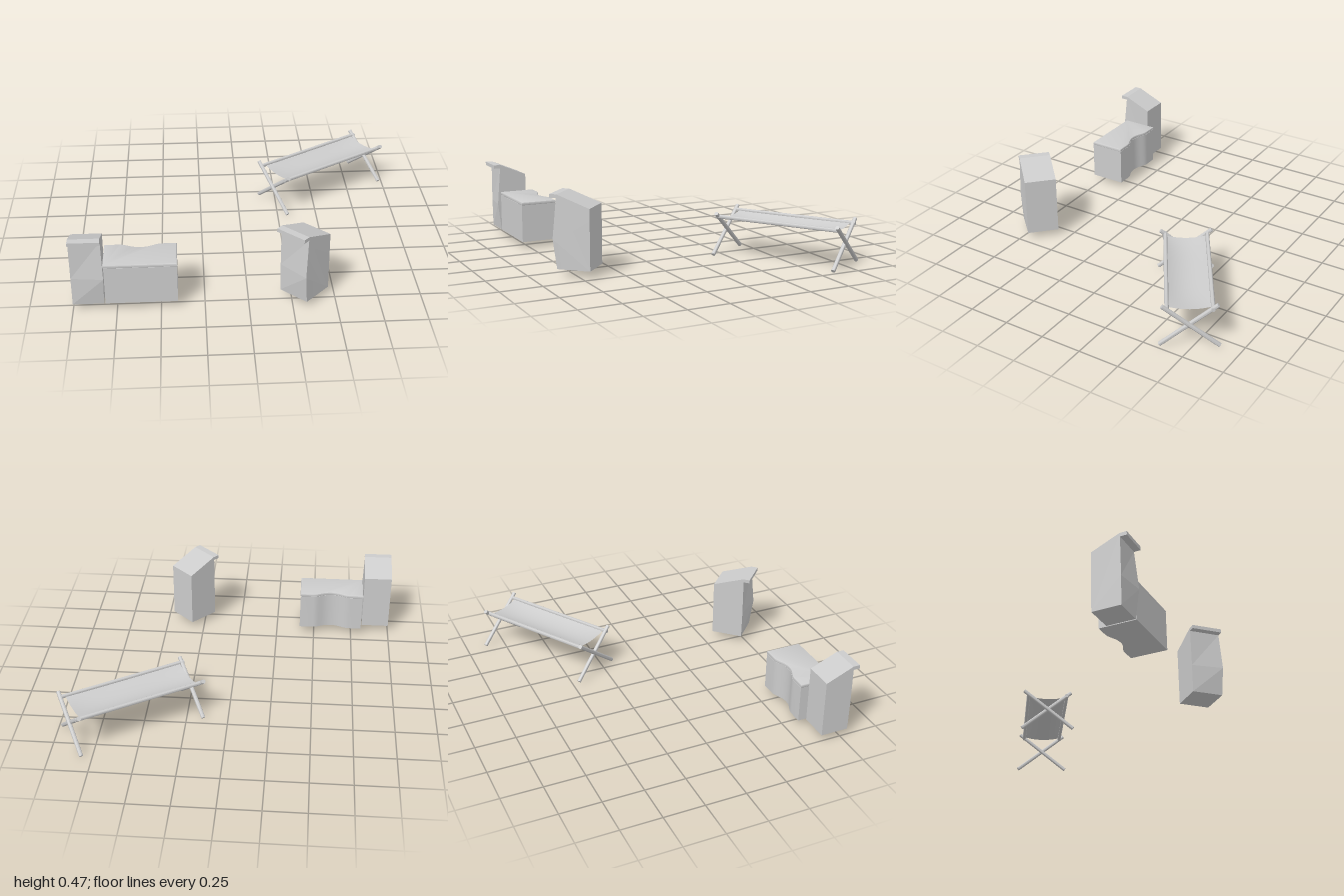
import * as THREE from 'three';
import { toCreasedNormals } from 'three/addons/utils/BufferGeometryUtils.js';

const material = new THREE.MeshStandardMaterial({ color: 0xcccccc });
const clothMaterial = new THREE.MeshStandardMaterial({ color: 0xcccccc, side: THREE.DoubleSide });

function addMesh(parent, name, geometry, mat = material) {
  const mesh = new THREE.Mesh(geometry, mat);
  mesh.name = name;
  parent.add(mesh);
  return mesh;
}

// Lectern: side profile extruded across its width, with a sloped top and a front lip
function createLectern(name, width, depth) {
  const group = new THREE.Group();
  group.name = name;
  const d = depth / 2, front = d - 0.04, kinkY = 0.215;
  const profile = new THREE.Shape([
    [-d, 0.04], [front, 0.04], [front + 0.002, kinkY], [front, 0.45],
    [d, 0.45], [d, 0.472], [d - 0.043, 0.472], [-d, 0.4],
  ].map(([z, y]) => new THREE.Vector2(z, y)));
  const geometry = new THREE.ExtrudeGeometry(profile, { depth: width, bevelEnabled: false });
  geometry.rotateY(-Math.PI / 2).translate(width / 2, 0, 0);
  // the front edge on one side bulges at mid height
  const p = geometry.attributes.position;
  for (let i = 0; i < p.count; i++) {
    if (p.getX(i) > 0 && Math.abs(p.getY(i) - kinkY) < 0.001) {
      p.setX(i, p.getX(i) + 0.006);
      p.setZ(i, p.getZ(i) + 0.02);
    }
  }
  addMesh(group, 'lecternBody', toCreasedNormals(geometry, 0.05));
  return group;
}

// Desk: rectangular plan with a smooth hollow in the back edge
function createDesk() {
  const group = new THREE.Group();
  group.name = 'desk';
  const back = 0.575, dip = 0.608, frontZ = 0.798;
  // plan is drawn with shape y = -z so that it can be laid flat
  const plan = (left, right) => {
    const s = new THREE.Shape();
    s.moveTo(left, -frontZ);
    s.lineTo(right, -frontZ);
    s.lineTo(right, -back);
    s.lineTo(-0.49, -back);
    s.bezierCurveTo(-0.53, -back, -0.55, -dip, -0.61, -dip);
    s.bezierCurveTo(-0.67, -dip, -0.69, -back, -0.735, -back);
    s.lineTo(left, -back);
    s.closePath();
    return s;
  };
  const body = new THREE.ExtrudeGeometry(plan(-0.815, -0.404), {
    depth: 0.235, bevelEnabled: false, curveSegments: 10,
  });
  body.rotateX(-Math.PI / 2).translate(0, 0.04, 0);
  addMesh(group, 'deskBody', toCreasedNormals(body, 0.5));
  const top = new THREE.ExtrudeGeometry(plan(-0.82, -0.402), {
    depth: 0.006, bevelThickness: 0.008, bevelSize: 0.008, bevelOffset: -0.008,
    bevelSegments: 2, curveSegments: 10,
  });
  top.rotateX(-Math.PI / 2).translate(0, 0.28, 0);
  addMesh(group, 'deskTop', toCreasedNormals(top, 0.5));
  return group;
}

// Pole between two points
function addPole(parent, name, a, b, radius) {
  const start = new THREE.Vector3(...a), end = new THREE.Vector3(...b);
  const dir = end.clone().sub(start);
  const geometry = toCreasedNormals(new THREE.CylinderGeometry(radius, radius, dir.length(), 10), 0.8);
  const pole = addMesh(parent, name, geometry);
  pole.position.copy(start).lerp(end, 0.5);
  pole.quaternion.setFromUnitVectors(new THREE.Vector3(0, 1, 0), dir.normalize());
}

// Folding cot: long axis on x, crossed legs at both ends
function createCot() {
  const group = new THREE.Group();
  group.name = 'cot';
  for (const end of [-1, 1]) {
    for (const side of [-1, 1]) {
      const x = end * 0.392 + side * 0.006;
      addPole(group, 'crossedLeg', [x, 0.01, -side * 0.165], [x, 0.265, side * 0.153], 0.0125);
    }
  }
  for (const side of [-1, 1]) {
    addPole(group, 'sideRail', [-0.4, 0.242, side * 0.125], [0.4, 0.242, side * 0.125], 0.012);
  }
  // cloth sagging between the rails
  const cloth = new THREE.PlaneGeometry(0.735, 0.25, 16, 12).rotateX(-Math.PI / 2);
  const p = cloth.attributes.position;
  for (let i = 0; i < p.count; i++) {
    const u = p.getZ(i) / 0.125, v = p.getX(i) / 0.3675;
    p.setY(i, 0.243 - (1 - u * u) * (0.018 + 0.016 * (1 - v ** 4)));
  }
  cloth.computeVertexNormals();
  addMesh(group, 'cloth', cloth, clothMaterial);
  return group;
}

export function createModel() {
  const model = new THREE.Group();
  model.name = 'furnitureSet';

  const deskLectern = createLectern('deskLectern', 0.177, 0.213);
  deskLectern.position.set(-0.9115, 0, 0.731);
  const freeLectern = createLectern('freeLectern', 0.193, 0.241);
  freeLectern.position.set(0.312, 0, 0.724);
  freeLectern.rotation.y = -0.765;

  const cot = createCot();
  cot.position.set(0.563, 0, -0.524);
  cot.rotation.y = 0.561;

  model.add(deskLectern, createDesk(), freeLectern, cot);
  return model;
}
